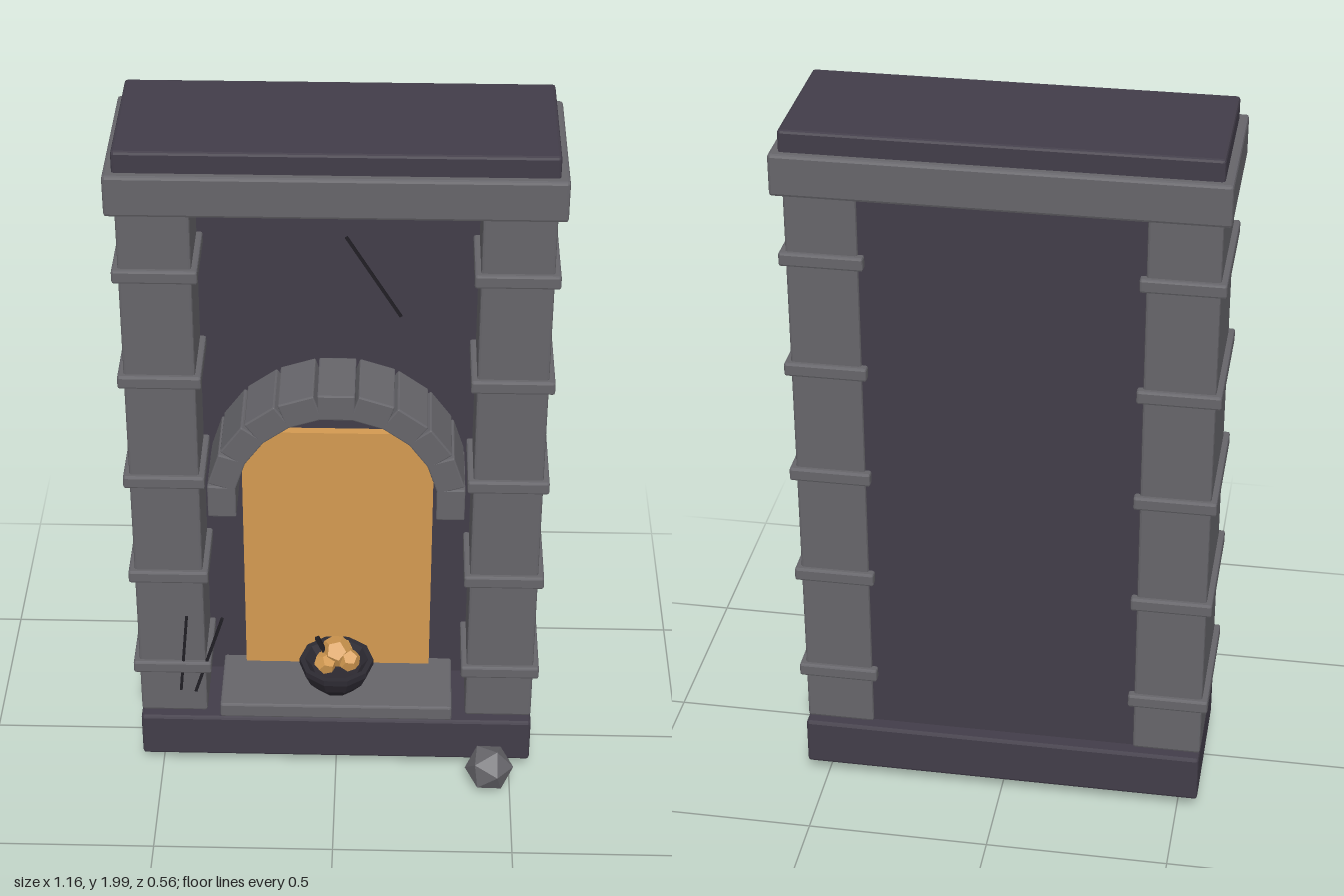
import * as THREE from 'three';
import { RoundedBoxGeometry } from 'three/addons/geometries/RoundedBoxGeometry.js';

const material = (name, color, extra = {}) =>
  Object.assign(new THREE.MeshStandardMaterial({ color, ...extra }), { name });

export function createModel() {
  const stone = material('grey stone', 0x66656a, { flatShading: true });
  const darkStone = material('dark stone', 0x423d49, { flatShading: true });
  const amber = material('amber glow', 0xd39a51, { flatShading: true });
  const iron = material('dark iron', 0x2d2a32, { flatShading: true, side: THREE.DoubleSide });
  const soot = material('soot', 0x201e24);

  const model = new THREE.Group();
  model.name = 'shrine';

  const add = (name, geometry, mat, parent = model) => {
    const mesh = new THREE.Mesh(geometry, mat);
    mesh.name = name;
    parent.add(mesh);
    return mesh;
  };

  // Box given by its limits, with a small chamfer when bevel > 0
  const block = (name, [x0, x1], [y0, y1], [z0, z1], mat, bevel = 0, parent = model) => {
    const size = [x1 - x0, y1 - y0, z1 - z0];
    const geometry = bevel
      ? new RoundedBoxGeometry(...size, 1, bevel)
      : new THREE.BoxGeometry(...size);
    const mesh = add(name, geometry, mat, parent);
    mesh.position.set((x0 + x1) / 2, (y0 + y1) / 2, (z0 + z1) / 2);
    return mesh;
  };

  // Thin bar between two points in a plane facing the front
  const bar = (name, [ax, ay], [bx, by], z, width, depth, mat) => {
    const mesh = add(name, new THREE.BoxGeometry(width, Math.hypot(bx - ax, by - ay), depth), mat);
    mesh.position.set((ax + bx) / 2, (ay + by) / 2, z);
    mesh.rotation.z = Math.atan2(by - ay, bx - ax) - Math.PI / 2;
    return mesh;
  };

  // Base, back wall, cornice and roof slab
  block('base', [-0.557, 0.557], [0.048, 0.187], [-0.265, 0.158], darkStone, 0.008);
  block('backWall', [-0.375, 0.375], [0.18, 1.84], [-0.222, -0.07], darkStone);
  block('cornice', [-0.58, 0.58], [1.828, 1.942], [-0.278, 0.167], stone, 0.008);
  block('roofSlab', [-0.557, 0.557], [1.93, 2.0], [-0.257, 0.145], darkStone, 0.008);

  // Banded pillars
  for (const [name, side] of [['leftPillar', 1], ['rightPillar', -1]]) {
    const pillar = new THREE.Group();
    pillar.name = name;
    pillar.position.x = side * 0.463;
    model.add(pillar);
    block('shaft', [-0.094, 0.094], [0.185, 1.83], [-0.232, 0.125], stone, 0.007, pillar);
    for (let i = 0; i < 5; i++) {
      const y = 0.352 + i * 0.321;
      block('band', [-0.11, 0.11], [y - 0.019, y + 0.019], [-0.246, 0.139], stone, 0.006, pillar);
    }
  }

  // Glowing niche and sill
  block('glowPanel', [-0.265, 0.265], [0.19, 1.04], [-0.08, -0.045], amber);
  block('sill', [-0.33, 0.33], [0.185, 0.232], [-0.08, 0.152], stone, 0.006);

  // Arch of separate wedge-laid stones
  const arch = new THREE.Group();
  arch.name = 'arch';
  arch.position.set(0, 0.922, 0.025);
  model.add(arch);
  for (let i = 0; i < 11; i++) {
    const angle = (i * Math.PI) / 10;
    const voussoir = add('archStone', new RoundedBoxGeometry(0.077, 0.1, 0.19, 1, 0.004), stone, arch);
    voussoir.position.set(0.31 * Math.cos(angle), 0.31 * Math.sin(angle), 0);
    voussoir.rotation.z = angle;
  }

  // Offering bowl: closed lathe with a hollow top
  const profile = [
    [0, 0.232], [0.022, 0.232], [0.058, 0.26], [0.088, 0.295], [0.105, 0.332],
    [0.105, 0.35], [0.09, 0.35], [0.07, 0.325], [0, 0.315],
  ].map(([r, y]) => new THREE.Vector2(r, y));
  const bowl = add('bowl', new THREE.LatheGeometry(profile, 10, Math.PI / 10), iron);
  bowl.position.z = 0.083;

  // Embers and a charred twig in the bowl
  const embers = [
    [0, 0.375, 0.08, 0.046, 0.3],
    [-0.03, 0.355, 0.105, 0.034, 1.1],
    [0.035, 0.362, 0.1, 0.034, 2.0],
    [0.01, 0.352, 0.045, 0.036, 0.7],
  ];
  for (const [x, y, z, r, turn] of embers) {
    const ember = add('ember', new THREE.DodecahedronGeometry(r), amber);
    ember.position.set(x, y, z);
    ember.rotation.set(turn, turn * 0.7, turn * 0.4);
  }
  bar('twig', [-0.025, 0.36], [-0.055, 0.428], 0.085, 0.012, 0.012, soot);

  // Crack in the wall and scratches on the right pillar
  bar('wallCrack', [0.022, 1.645], [0.168, 1.405], -0.068, 0.008, 0.008, soot);
  bar('scratch', [-0.418, 0.53], [-0.442, 0.265], 0.127, 0.008, 0.008, soot);
  bar('scratch', [-0.318, 0.525], [-0.4, 0.26], 0.127, 0.008, 0.008, soot);

  // Fallen rubble by the base
  const rubble = add('rubble', new THREE.IcosahedronGeometry(0.07), stone);
  rubble.position.set(0.44, 0.072, 0.22);
  rubble.rotation.set(0.35, 0.5, 0.2);

  return model;
}
